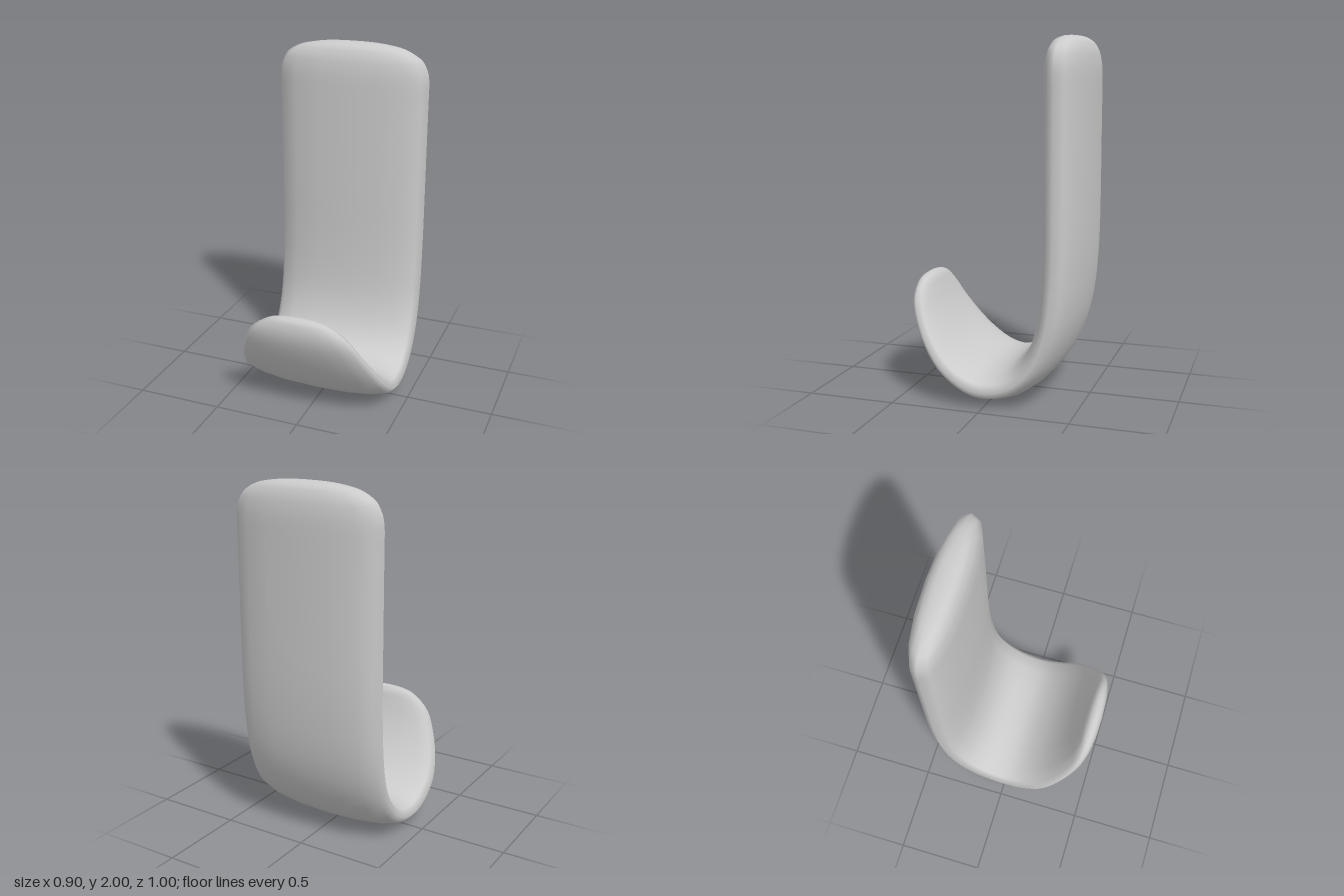
import * as THREE from 'three';
import { mergeVertices } from 'three/addons/utils/BufferGeometryUtils.js';

// Stations along the hook: [z, y, half width, half thickness]
const STATIONS = [
  // rounded top end
  [-0.39, 2.0, 0, 0], [-0.39, 1.995, 0.14, 0.035], [-0.39, 1.985, 0.23, 0.057],
  [-0.39, 1.965, 0.32, 0.078], [-0.39, 1.925, 0.395, 0.096],
  [-0.39, 1.88, 0.43, 0.106], [-0.39, 1.81, 0.449, 0.113],
  // straight back plate
  [-0.39, 1.68, 0.45, 0.114], [-0.39, 1.42, 0.45, 0.114],
  [-0.39, 1.1, 0.45, 0.114], [-0.388, 0.85, 0.45, 0.112],
  // bend
  [-0.375, 0.61, 0.45, 0.108], [-0.345, 0.425, 0.45, 0.102],
  [-0.285, 0.27, 0.45, 0.096], [-0.2, 0.165, 0.45, 0.091],
  [-0.1, 0.108, 0.45, 0.089], [0.02, 0.092, 0.45, 0.088],
  [0.13, 0.128, 0.45, 0.08], [0.24, 0.21, 0.442, 0.072],
  // tapering, upturned tip
  [0.33, 0.32, 0.407, 0.065], [0.4, 0.44, 0.352, 0.061],
  [0.44, 0.54, 0.293, 0.058], [0.452, 0.61, 0.21, 0.046],
  [0.455, 0.643, 0.125, 0.027], [0.456, 0.655, 0, 0],
];
const SIDES = 16;
const STEPS = 3;

// Slightly squared ellipse
const soft = (v) => Math.sign(v) * Math.abs(v) ** 0.9;

function hookGeometry() {
  const spline = (f) => new THREE.CatmullRomCurve3(STATIONS.map(f), false, 'catmullrom', 0.5);
  const path = spline(([z, y]) => new THREE.Vector3(0, y, z));
  const size = spline(([, , w, h]) => new THREE.Vector3(w, h, 0));
  const rings = (STATIONS.length - 1) * STEPS;
  const positions = [];
  const index = [];

  for (let i = 0; i <= rings; i++) {
    const c = path.getPoint(i / rings);
    const s = size.getPoint(i / rings);
    const t = path.getTangent(i / rings);
    for (let j = 0; j < SIDES; j++) {
      const a = (j / SIDES) * Math.PI * 2;
      const x = s.x * soft(Math.cos(a));
      const d = s.y * soft(Math.sin(a));
      positions.push(x, c.y - t.z * d, c.z + t.y * d);
      if (i < rings) {
        const k = (j + 1) % SIDES;
        const p = i * SIDES + j, q = i * SIDES + k;
        index.push(p, p + SIDES, q, q, p + SIDES, q + SIDES);
      }
    }
  }

  // Merging closes the two end poles
  const geometry = new THREE.BufferGeometry();
  geometry.setAttribute('position', new THREE.Float32BufferAttribute(positions, 3));
  geometry.setIndex(index);
  const merged = mergeVertices(geometry, 1e-5);
  merged.computeVertexNormals();
  return merged;
}

export function createModel() {
  const group = new THREE.Group();
  group.name = 'wallHook';
  const hook = new THREE.Mesh(hookGeometry(), new THREE.MeshStandardMaterial({ color: 0xcccccc }));
  hook.name = 'hook';
  group.add(hook);
  return group;
}
